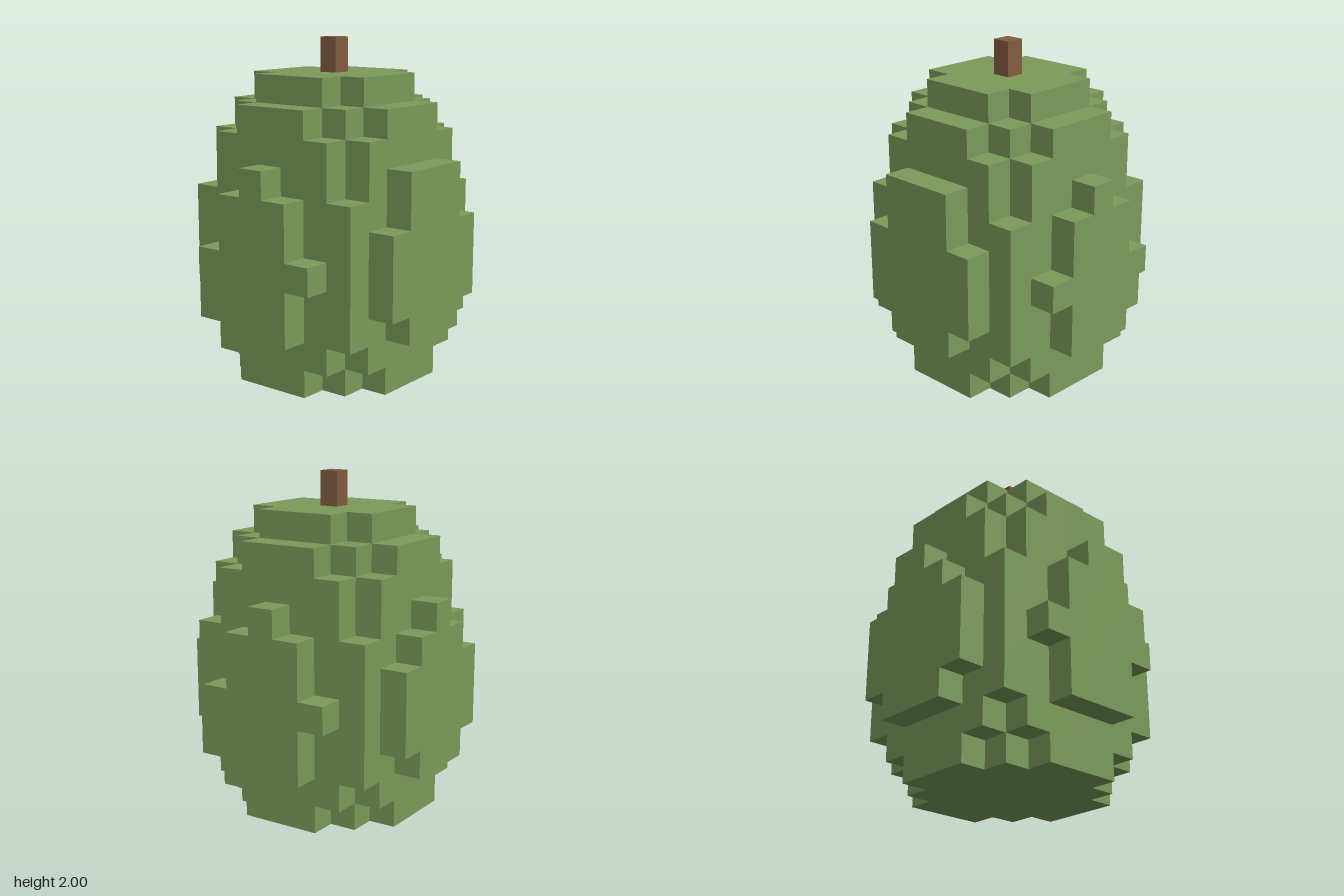
import * as THREE from 'three';
import { mergeGeometries } from 'three/addons/utils/BufferGeometryUtils.js';

const U = 0.1632; // edge of one block
const LAYERS = 11;

// Body: for each layer, the half-width of the rows at |z| = 0..3 (in blocks)
const tier = {
  foot: [3, 3, 2, 1],
  rounded: [3, 3, 3, 2],
  full: [3, 3, 3, 3],
  crown: [2, 2, 1, -1],
};
const body = [
  tier.foot, tier.rounded,
  tier.full, tier.full, tier.full, tier.full, tier.full,
  tier.rounded, tier.rounded, tier.foot, tier.crown,
];

// Raised side plates: half-width for layers 2..7
const plates = {
  frontPlate: [1, 1, 2, 1, 1, 0],
  backPlate: [1, 1, 2, 1, 1, 0],
  leftPlate: [1, 2, 2, 2, 1, 1],
  rightPlate: [1, 2, 2, 2, 1, 0],
};

// Which part fills a block, or null when it is empty
function partAt(x, y, z) {
  if (y < 0 || y >= LAYERS) return null;
  const ax = Math.abs(x), az = Math.abs(z);
  if (az <= 3 && ax <= body[y][az]) return 'body';
  const inPlate = (name, across) => (across <= (plates[name][y - 2] ?? -1) ? name : null);
  if (az === 4) return inPlate(z > 0 ? 'frontPlate' : 'backPlate', ax);
  if (ax === 4) return inPlate(x > 0 ? 'leftPlate' : 'rightPlate', az);
  return null;
}

// One square for each side of a block
const square = () => new THREE.PlaneGeometry(U, U).translate(0, 0, U / 2);
const sides = [
  { d: [0, 0, 1], face: square() },
  { d: [0, 0, -1], face: square().rotateY(Math.PI) },
  { d: [1, 0, 0], face: square().rotateY(Math.PI / 2) },
  { d: [-1, 0, 0], face: square().rotateY(-Math.PI / 2) },
  { d: [0, 1, 0], face: square().rotateX(-Math.PI / 2) },
  { d: [0, -1, 0], face: square().rotateX(Math.PI / 2) },
];

// Collect only the exposed block sides of a part
function blockShell(part) {
  const faces = [];
  for (let y = 0; y < LAYERS; y++)
    for (let x = -4; x <= 4; x++)
      for (let z = -4; z <= 4; z++) {
        if (partAt(x, y, z) !== part) continue;
        for (const { d, face } of sides)
          if (!partAt(x + d[0], y + d[1], z + d[2]))
            faces.push(face.clone().translate(x * U, (y + 0.5) * U, z * U));
      }
  return mergeGeometries(faces);
}

export function createModel() {
  const green = new THREE.MeshStandardMaterial({ name: 'leaf green', color: 0x7c9b5b });
  const brown = new THREE.MeshStandardMaterial({ name: 'stem brown', color: 0x835c41 });
  const group = new THREE.Group();
  group.name = 'blockFruit';

  const add = (name, geometry, material) => {
    const mesh = new THREE.Mesh(geometry, material);
    mesh.name = name;
    group.add(mesh);
    return mesh;
  };

  // Fruit body and its four raised plates
  for (const part of ['body', ...Object.keys(plates)]) add(part, blockShell(part), green);

  // Stem
  const top = LAYERS * U, height = 2 - top;
  add('stem', new THREE.BoxGeometry(0.114, height, 0.114), brown)
    .position.set(0.003, top + height / 2, -0.001);

  return group;
}
